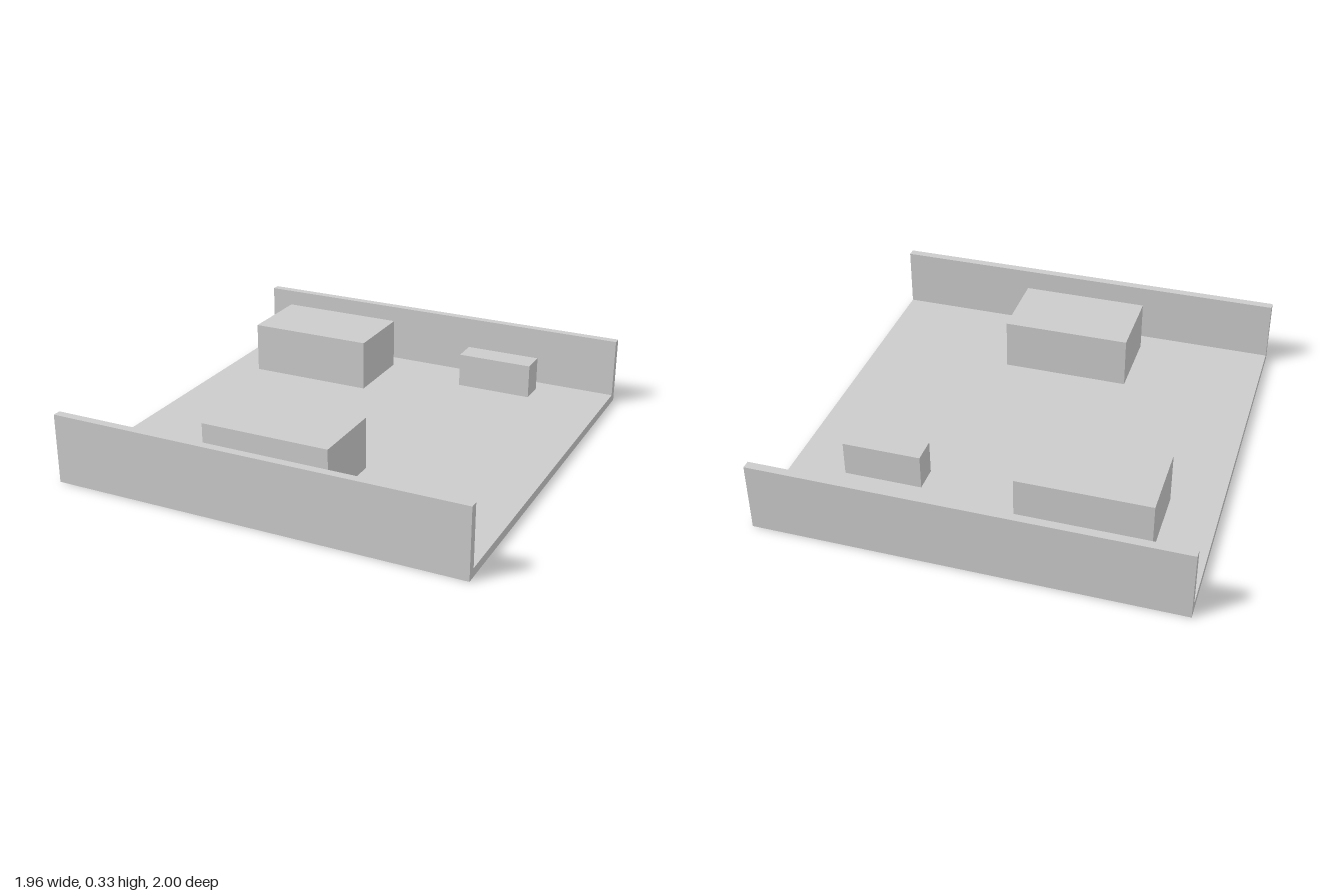
import * as THREE from 'three';

const material = new THREE.MeshStandardMaterial({ color: 0xcccccc, flatShading: true });

// Box given by its [min, max] range on each axis
function block(name, [x0, x1], [y0, y1], [z0, z1]) {
  const mesh = new THREE.Mesh(new THREE.BoxGeometry(x1 - x0, y1 - y0, z1 - z0), material);
  mesh.name = name;
  mesh.position.set((x0 + x1) / 2, (y0 + y1) / 2, (z0 + z1) / 2);
  return mesh;
}

// Floor with front and back walls: one U-shaped profile swept along x
function createTray() {
  const width = 1.958, height = 0.328, wall = 0.04;
  const profile = new THREE.Shape([
    [-1, 0], [1, 0], [1, height], [1 - wall, height],
    [1 - wall, wall], [wall - 1, wall], [wall - 1, height], [-1, height],
  ].map(([z, y]) => new THREE.Vector2(z, y)));
  const geometry = new THREE.ExtrudeGeometry(profile, { depth: width, bevelEnabled: false });
  geometry.translate(0, 0, -width / 2).rotateY(-Math.PI / 2);
  const tray = new THREE.Mesh(geometry, material);
  tray.name = 'tray';
  return tray;
}

export function createModel() {
  const group = new THREE.Group();
  group.name = 'trayWithBlocks';
  group.add(
    createTray(),
    // Blocks hovering just above the floor
    block('backLargeBlock', [-0.757, -0.147], [0.084, 0.328], [-0.757, -0.391]),
    block('frontLargeBlock', [-0.35, 0.26], [0.084, 0.328], [0.428, 0.794]),
    block('smallBlock', [0.305, 0.667], [0.125, 0.287], [-0.676, -0.555]),
  );
  return group;
}
